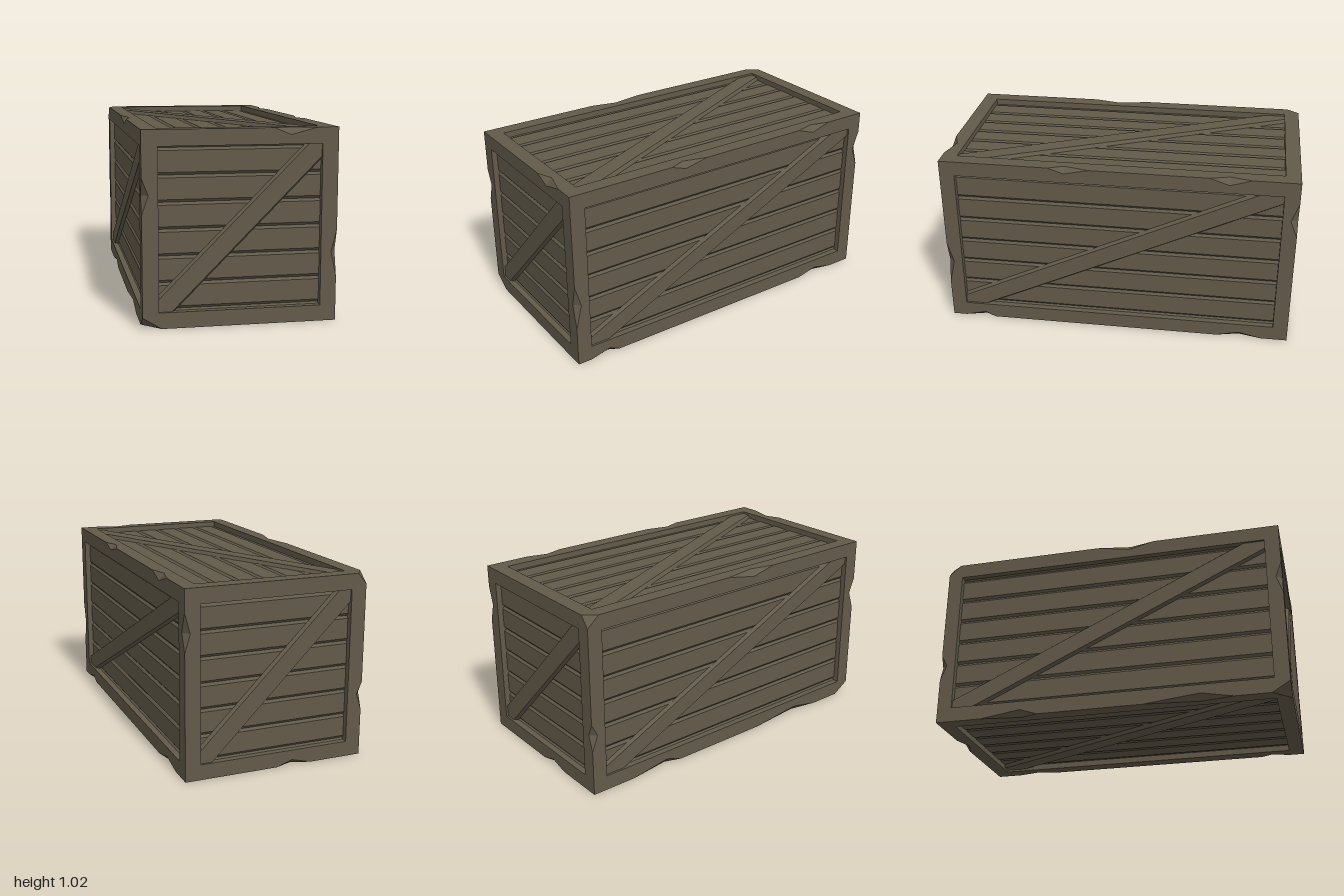
import * as THREE from 'three';

const H = [0.512, 0.512, 1];   // half sizes of the crate
const RIM = 0.085;             // width of the frame timbers
const DEPTH = 0.032;           // recess from frame to planks
const GROOVE = 0.011;          // depth of the V between planks
const BRACE_TOP = -0.012;      // brace surface, just below the frame

// Notches in the frame edges: axis of the edge, signs on the other two axes,
// start / deepest / end along the edge, depth along the other two axes
const NOTCHES = [
  [0, [1, 1], [0.17, 0.26, 0.4], [0.037, 0.035]],
  [0, [-1, -1], [-0.21, -0.1, -0.01], [0.03, 0.035]],
  [1, [-1, 1], [0.08, 0.18, 0.27], [0.035, 0.035]],
  [1, [1, 1], [-0.28, -0.14, -0.02], [0.03, 0.035]],
  [1, [1, -1], [0.18, 0.28, 0.39], [0.03, 0.04]],
  [1, [-1, -1], [-0.25, -0.16, -0.09], [0.03, 0.035]],
  [2, [1, 1], [0.15, 0.29, 0.38], [0.035, 0.03]],
  [2, [1, 1], [-0.74, -0.62, -0.51], [0.03, 0.037]],
  [2, [1, -1], [0.74, 0.8, 0.92], [0.03, 0.03]],
  [2, [1, -1], [-0.85, -0.72, -0.59], [0.03, 0.03]],
  [2, [-1, 1], [-0.06, 0.13, 0.28], [0.033, 0.035]],
  [2, [-1, -1], [0.2, 0.52, 0.7], [0.033, 0.035]],
  [2, [-1, -1], [-0.73, -0.5, -0.4], [0.033, 0.035]],
].map(([axis, s, [a, m, b], d]) => {
  const others = [0, 1, 2].filter((k) => k !== axis);
  const at = (t, cut) => {
    const p = [0, 0, 0];
    p[axis] = t;
    others.forEach((k, i) => { p[k] = s[i] * (H[k] - (i === cut ? d[i] : 0)); });
    return p;
  };
  // mid[k] is the deepest point lying on the face whose normal is axis k
  const mid = { [others[0]]: at(m, 1), [others[1]]: at(m, 0) };
  return { axis, others, s, A: at(a), B: at(b), mid };
});

// Broken corners: signs of the corner and the cut along each axis
const CORNERS = [
  { s: [-1, -1, 1], d: [0.1, 0.062, 0.1] },
  { s: [-1, 1, -1], d: [0.05, 0.06, 0.07] },
];
const cornerPoint = (c, cut) => c.s.map((s, k) => s * (H[k] - (k === cut ? c.d[k] : 0)));

// Geometry from a flat list of triangle corners
function triangles(points) {
  const g = new THREE.BufferGeometry();
  g.setAttribute('position', new THREE.Float32BufferAttribute(points.flat(), 3));
  g.computeVertexNormals();
  return g;
}
const quad = (a, b, c, d) => [a, b, c, a, c, d];

// Faces of the broken wood, each turned outwards
function chipGeometry() {
  const out = [];
  const add = (a, b, c, dir) => {
    const [p, q, r] = [a, b, c].map((v) => new THREE.Vector3(...v));
    const n = q.clone().sub(p).cross(r.clone().sub(p));
    out.push(...(n.dot(dir) > 0 ? [a, b, c] : [a, c, b]));
  };
  for (const n of NOTCHES) {
    const dir = new THREE.Vector3();
    n.others.forEach((k, i) => dir.setComponent(k, n.s[i]));
    const [P, Q] = n.others.map((k) => n.mid[k]);
    add(n.A, P, Q, dir);
    add(n.B, P, Q, dir);
  }
  for (const c of CORNERS) {
    add(cornerPoint(c, 0), cornerPoint(c, 1), cornerPoint(c, 2), new THREE.Vector3(...c.s));
  }
  return triangles(out);
}

// Outline of one crate face, following notches and broken corners
function faceOutline(u, v, n) {
  const f = n.findIndex((x) => x !== 0);
  const signs = [[-1, -1], [1, -1], [1, 1], [-1, 1]].map(([a, b]) => n.map((x, k) => x + a * u[k] + b * v[k]));
  const pts = [];
  signs.forEach((s, i) => {
    const next = signs[(i + 1) % 4], prev = signs[(i + 3) % 4];
    const axisTo = (o) => s.findIndex((x, k) => x !== o[k]);
    const axis = axisTo(next), dir = next[axis];
    const broken = CORNERS.find((c) => c.s.every((x, k) => x === s[k]));
    if (broken) pts.push(cornerPoint(broken, axisTo(prev)), cornerPoint(broken, axis));
    else pts.push(s.map((x, k) => x * H[k]));
    NOTCHES.filter((c) => c.axis === axis && c.others.every((k, j) => c.s[j] === s[k]))
      .sort((p, q) => dir * (p.A[axis] - q.A[axis]))
      .forEach((c) => pts.push(...(dir > 0 ? [c.A, c.mid[f], c.B] : [c.B, c.mid[f], c.A])));
  });
  const dot = (a, b) => a[0] * b[0] + a[1] * b[1] + a[2] * b[2];
  return pts.map((p) => new THREE.Vector2(dot(p, u), dot(p, v)));
}

const openingCorners = (hu, hv) => [[-hu, -hv], [hu, -hv], [hu, hv], [-hu, hv]];

// Inner walls of the frame opening
function wallGeometry(hu, hv) {
  const c = openingCorners(hu, hv), z = -DEPTH - GROOVE, out = [];
  c.forEach((a, i) => {
    const b = c[(i + 1) % 4];
    out.push(...quad([...a, 0], [...b, 0], [...b, z], [...a, z]));
  });
  return triangles(out);
}

// Six planks side by side with V grooves between them
function plankGeometry(hu, hv) {
  const profile = [[-hv, -0.003]];
  for (let i = 0; i <= 6; i++) {
    const c = -0.417 + 0.139 * i;
    if (i > 0) profile.push([c - 0.014, 0]);
    profile.push([c, -GROOVE]);
    if (i < 6) profile.push([c + 0.014, 0]);
  }
  profile.push([hv, -0.003]);
  const pts = [[-hv, -0.02], [hv, -0.02], ...profile.reverse()];
  const shape = new THREE.Shape(pts.map((p) => new THREE.Vector2(...p)));
  const g = new THREE.ExtrudeGeometry(shape, { depth: 2 * hu, bevelEnabled: false });
  const X = new THREE.Vector3(1, 0, 0), Y = new THREE.Vector3(0, 1, 0), Z = new THREE.Vector3(0, 0, 1);
  g.applyMatrix4(new THREE.Matrix4().makeBasis(Y, Z, X));
  return g.translate(-hu, 0, -DEPTH);
}

// Diagonal brace, trimmed to the opening, with sloping sides
function braceGeometry(hu, hv, p, q) {
  const ring = (k, z) => [
    [-hu, -hv, z], [-hu + p * k, -hv, z], [hu, hv - q * k, z],
    [hu, hv, z], [hu - p * k, hv, z], [-hu, -hv + q * k, z],
  ];
  const low = ring(1, -DEPTH), top = ring(0.8, BRACE_TOP), out = [];
  for (let i = 0; i < 6; i++) {
    const j = (i + 1) % 6;
    out.push(...quad(low[i], low[j], top[j], top[i]));
    if (i > 0 && i < 5) out.push(top[0], top[i], top[j]);
  }
  return triangles(out);
}

export function createModel() {
  const wood = new THREE.MeshStandardMaterial({ color: 0x625a4a });
  wood.name = 'weathered wood';
  const model = new THREE.Group();
  model.name = 'woodenCrate';
  const crate = new THREE.Group();
  crate.name = 'crateBody';
  crate.position.y = H[1];
  model.add(crate);

  const add = (parent, name, geometry) => {
    const mesh = new THREE.Mesh(geometry, wood);
    mesh.name = name;
    parent.add(mesh);
  };

  // Each side: plank direction, across direction, outward direction
  const sides = {
    front: [[1, 0, 0], [0, 1, 0], [0, 0, 1]],
    back: [[-1, 0, 0], [0, 1, 0], [0, 0, -1]],
    left: [[0, 0, -1], [0, 1, 0], [1, 0, 0]],
    right: [[0, 0, 1], [0, 1, 0], [-1, 0, 0]],
    top: [[0, 0, -1], [-1, 0, 0], [0, 1, 0]],
    bottom: [[0, 0, -1], [1, 0, 0], [0, -1, 0]],
  };
  for (const [name, [u, v, n]] of Object.entries(sides)) {
    const end = n[2] !== 0;
    const hu = (end ? H[0] : H[2]) - RIM, hv = H[0] - RIM;
    const side = new THREE.Group();
    side.name = name + 'Side';
    const axes = [u, v, n].map((a) => new THREE.Vector3(...a));
    side.quaternion.setFromRotationMatrix(new THREE.Matrix4().makeBasis(...axes));
    side.position.copy(axes[2]).multiplyScalar(end ? H[2] : H[0]);

    const frame = new THREE.Shape(faceOutline(u, v, n));
    frame.holes.push(new THREE.Path(openingCorners(hu, hv).reverse().map((p) => new THREE.Vector2(...p))));
    add(side, 'frame', new THREE.ShapeGeometry(frame));
    add(side, 'frameWalls', wallGeometry(hu, hv));
    add(side, 'planks', plankGeometry(hu, hv));
    add(side, 'diagonalBrace', braceGeometry(hu, hv, end ? 0.085 : 0.15, end ? 0.083 : 0.06));
    crate.add(side);
  }
  add(crate, 'chippedEdges', chipGeometry());
  return model;
}
